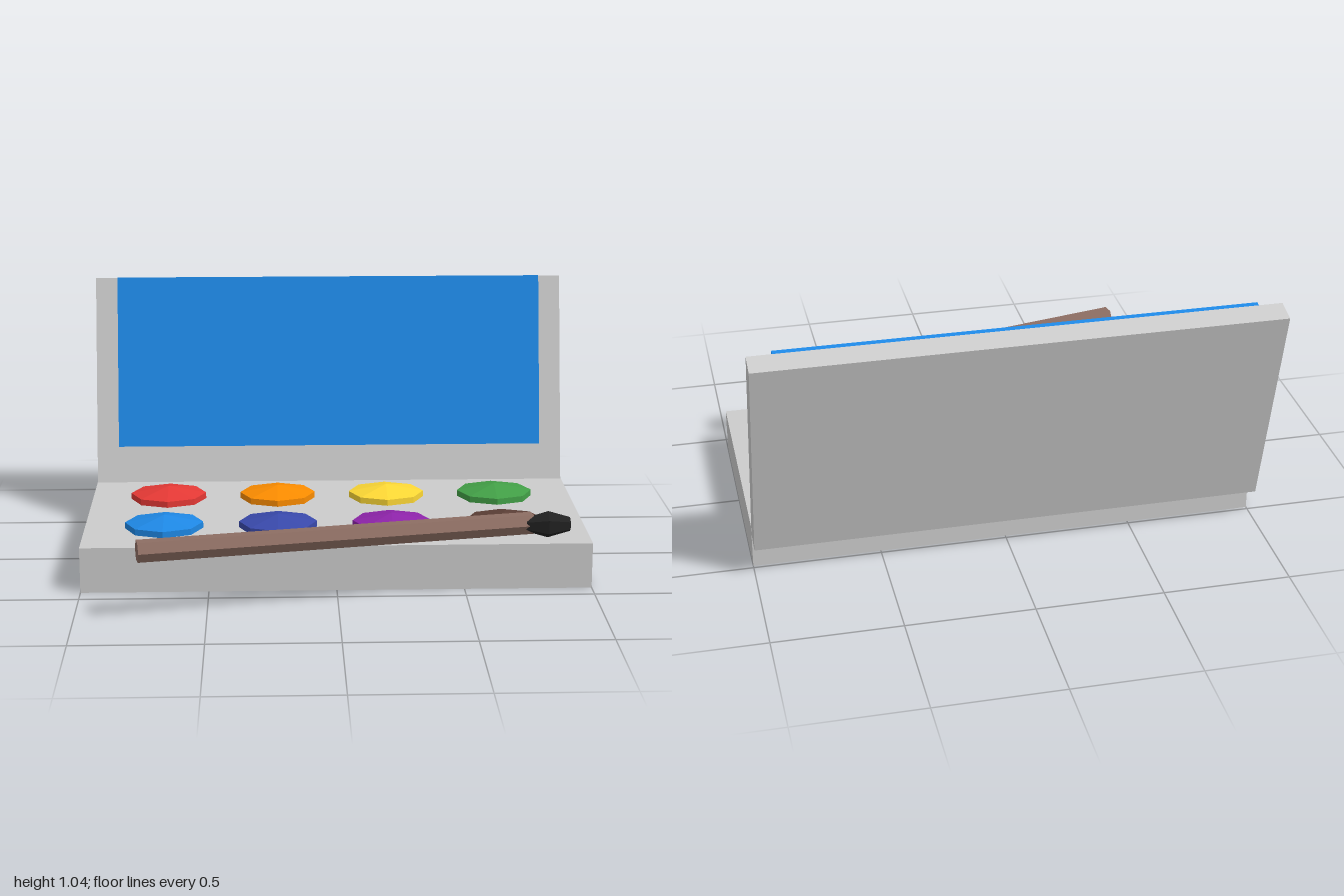
import * as THREE from 'three';

const material = (color) => new THREE.MeshStandardMaterial({ color, flatShading: true });

function part(name, geometry, color, x = 0, y = 0, z = 0) {
  const mesh = new THREE.Mesh(geometry, material(color));
  mesh.name = name;
  mesh.position.set(x, y, z);
  return mesh;
}

// Faceted solid of revolution from [radius, height] pairs
const faceted = (profile, sides) =>
  new THREE.LatheGeometry(profile.map(([r, h]) => new THREE.Vector2(r, h)), sides);

export function createModel() {
  const model = new THREE.Group();
  model.name = 'paintBox';

  // Tray
  model.add(part('tray', new THREE.BoxGeometry(2, 0.182, 0.91), 0xcccccc, 0, 0.091, -0.032));

  // Open lid, leaning back, with a blue panel on its inner face
  const lid = new THREE.Group();
  lid.name = 'lid';
  lid.position.set(0, 0.581, -0.644);
  lid.rotation.x = -0.245;
  lid.add(part('lidShell', new THREE.BoxGeometry(2, 0.91, 0.09), 0xcccccc));
  lid.add(part('lidPanel', new THREE.BoxGeometry(1.814, 0.727, 0.018), 0x1e88e5, 0, 0.0915, 0.054));
  model.add(lid);

  // Two rows of four octagonal paint pans with shallow pointed tops
  const paints = new THREE.Group();
  paints.name = 'paints';
  const rows = [
    [0xe53935, 0xfb8c00, 0xfdd835, 0x43a047],
    [0x1e88e5, 0x3949ab, 0x8e24aa, 0x5d4037],
  ];
  const panShape = faceted([[0, -0.02], [1, -0.02], [1, 0.025], [0, 0.055]], 8);
  panShape.scale(0.156, 1, 0.136);
  rows.forEach((colors, row) => colors.forEach((color, column) => {
    const x = (column - 1.5) * 0.455;
    const z = -0.24 + row * 0.41;
    paints.add(part('paintPan', panShape, color, x, 0.182, z));
  }));
  model.add(paints);

  // Brush: hexagonal handle laid at an angle, dark bristle head
  const brush = new THREE.Group();
  brush.name = 'brush';
  const handleShape = new THREE.CylinderGeometry(0.044, 0.044, 1.54, 6).rotateZ(-Math.PI / 2);
  const handle = part('brushHandle', handleShape, 0x8d6e63, 0, 0.276, 0.6);
  handle.rotation.y = 0.2;
  brush.add(handle);
  const tipShape = faceted([[0, -0.085], [0.028, -0.085], [0.053, 0], [0.028, 0.085], [0, 0.085]], 6);
  tipShape.rotateZ(-Math.PI / 2).rotateX(Math.PI / 2);
  brush.add(part('brushTip', tipShape, 0x212121, 0.815, 0.276, 0.467));
  model.add(brush);

  return model;
}
